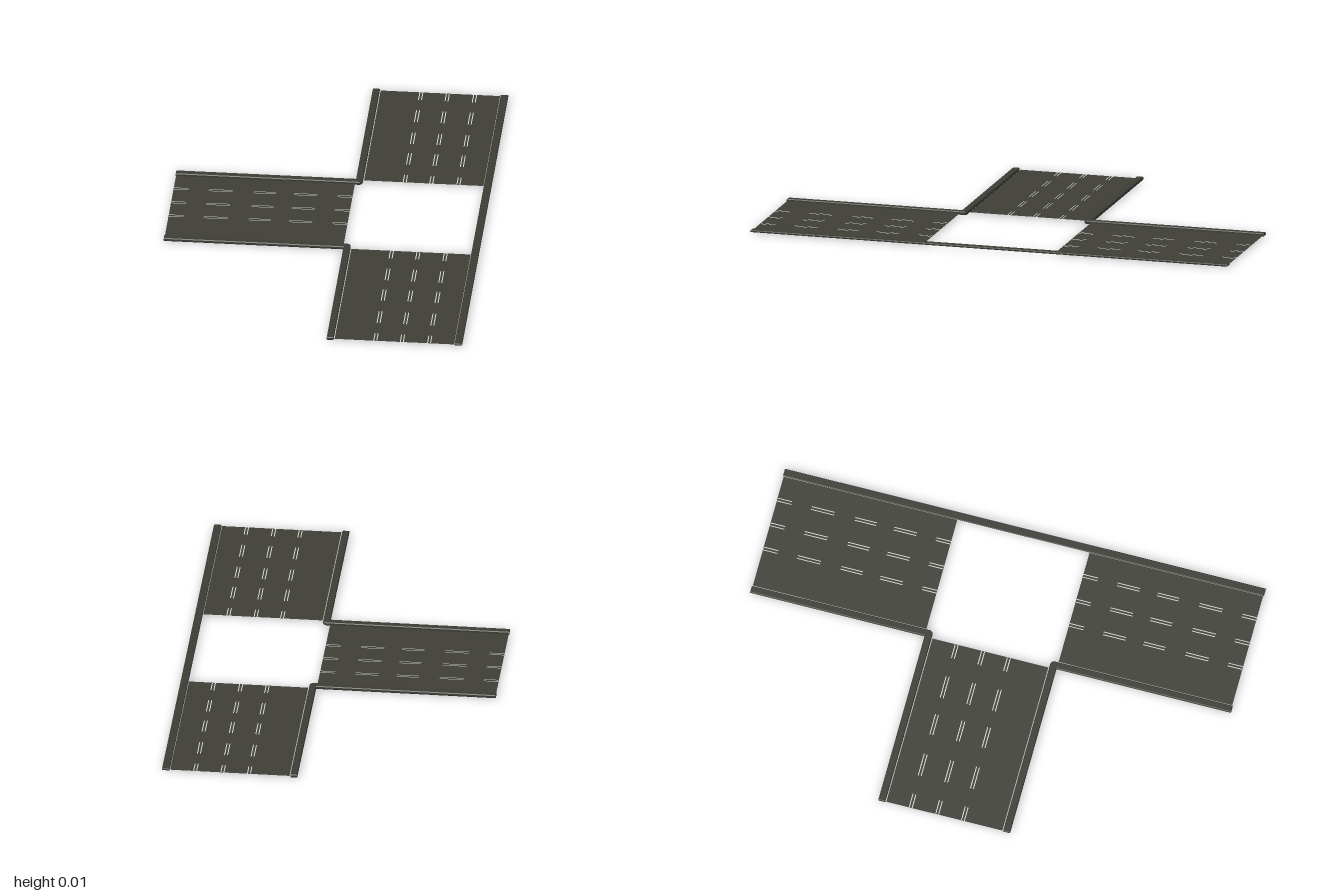
import * as THREE from 'three';

const asphalt = new THREE.MeshStandardMaterial({ color: 0x3f3f38, side: THREE.DoubleSide });
asphalt.name = 'asphalt';
const kerbGrey = new THREE.MeshStandardMaterial({ color: 0x3d3d36 });
kerbGrey.name = 'kerb grey';
const paint = new THREE.MeshStandardMaterial({ color: 0xd6d6d0, side: THREE.DoubleSide });
paint.name = 'lane paint';

const CENTRE_X = 0.361;            // middle of the junction
const ROAD_Y = 0.006;
const LANES = [-0.077, 0.03, 0.14];
const DASHES = [[0.276, 0.336], [0.417, 0.511], [0.584, 0.674], [0.759, 0.855], [0.936, 0.996]];

function rect(Type, x0, x1, y0, y1) {
  return new Type([[x0, y0], [x1, y0], [x1, y1], [x0, y1]].map(p => new THREE.Vector2(...p)));
}

// Flat geometry laid on the ground: shape x stays x, shape y runs towards -z
function flat(shapes) {
  return new THREE.ShapeGeometry(shapes).rotateX(-Math.PI / 2);
}

// One arm of the junction: road sheet with narrow slots and sunken paint lines
function makeArm(name) {
  const arm = new THREE.Group();
  arm.name = name;
  const sheet = rect(THREE.Shape, -0.241, 0.241, 0.275, 0.997);
  const strips = [];
  for (const lane of LANES) {
    for (const [v0, v1] of DASHES) {
      for (const side of [-0.006, 0.006]) {
        const u = lane + side;
        sheet.holes.push(rect(THREE.Path, u - 0.002, u + 0.002, v0, v1));
        strips.push(rect(THREE.Shape, u - 0.0025, u + 0.0025, v0, v1));
      }
    }
  }
  const road = new THREE.Mesh(flat(sheet), asphalt);
  road.name = 'roadSurface';
  road.position.y = ROAD_Y;
  const lines = new THREE.Mesh(flat(strips), paint);
  lines.name = 'laneDashes';
  lines.position.y = ROAD_Y - 0.004;
  arm.add(road, lines);
  arm.position.x = CENTRE_X;
  return arm;
}

// Kerb from a plan outline, with a chamfered edge
function makeKerb(name, shape, bottom, height, bevel) {
  const geo = new THREE.ExtrudeGeometry(shape, {
    depth: height - 2 * bevel, bevelEnabled: true, bevelThickness: bevel,
    bevelSize: bevel, bevelOffset: -bevel, bevelSegments: 1, curveSegments: 6,
  });
  geo.rotateX(-Math.PI / 2);
  const mesh = new THREE.Mesh(geo, kerbGrey);
  mesh.name = name;
  mesh.position.y = bottom + bevel;
  return mesh;
}

export function createModel() {
  const model = new THREE.Group();
  model.name = 'roadJunction';

  // Three road arms around the open middle
  const back = makeArm('backRoad');
  const front = makeArm('frontRoad');
  front.scale.z = -1;
  const side = makeArm('sideRoad');
  side.rotation.y = Math.PI / 2;
  model.add(back, front, side);

  // Corner kerbs, mirrored front to back
  const corner = new THREE.Shape();
  corner.moveTo(0.088, 1);
  corner.lineTo(0.088, 0.274);
  corner.lineTo(-0.638, 0.274);
  corner.lineTo(-0.638, 0.245);
  corner.lineTo(0.099, 0.245);
  corner.quadraticCurveTo(0.116, 0.245, 0.116, 0.262);
  corner.lineTo(0.116, 1);
  corner.closePath();
  const backKerb = makeKerb('backCornerKerb', corner, 0, 0.014, 0.003);
  const frontKerb = makeKerb('frontCornerKerb', corner, 0, 0.014, 0.003);
  frontKerb.scale.z = -1;
  model.add(backKerb, frontKerb);

  // Straight kerb along the far side
  model.add(makeKerb('straightKerb', rect(THREE.Shape, 0.604, 0.635, -1, 1), 0.003, 0.008, 0.002));
  return model;
}
